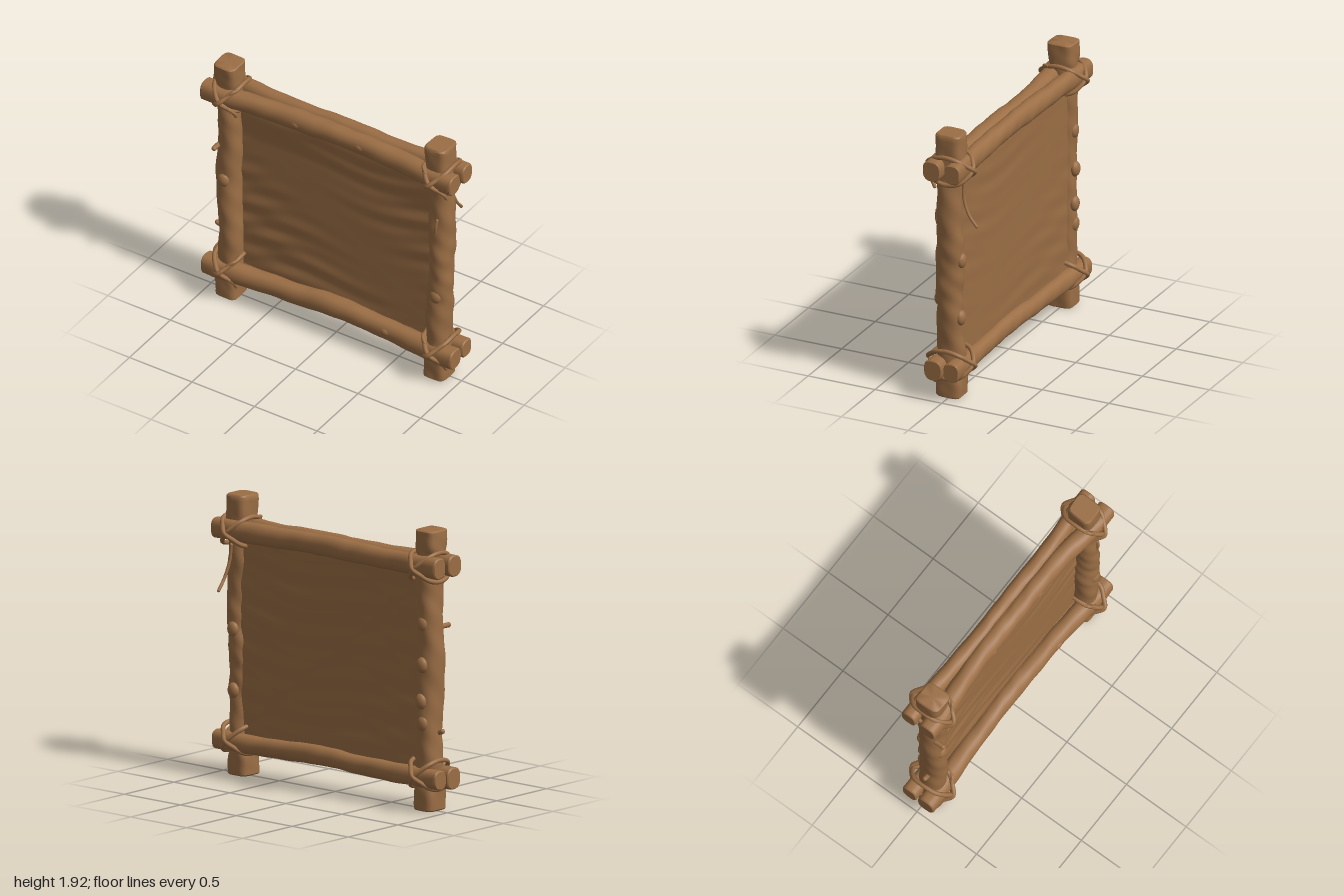
import * as THREE from 'three';
import { toCreasedNormals } from 'three/addons/utils/BufferGeometryUtils.js';

const wood = new THREE.MeshStandardMaterial({ color: 0x9b6e45 });
wood.name = 'brown wood';

// Smooth repeatable waviness
const wave = (a, t, s) =>
  0.5 * Math.sin(3 * t + 2 * a + s) + 0.3 * Math.sin(7.3 * t - a + 2.1 * s) + 0.25 * Math.sin(12.1 * t + 3 * a + 3.7 * s);

function add(group, name, geometry) {
  const mesh = new THREE.Mesh(geometry, wood);
  mesh.name = name;
  group.add(mesh);
  return mesh;
}

// Closed log skinned over rings along a path; u and v span its cross-section.
// square = how boxy the cut ends are.
function logGeometry(path, u, v, ru, rv, seed, square, rough) {
  const curve = new THREE.CatmullRomCurve3(path.map(p => new THREE.Vector3(...p)));
  const sides = 28, rings = 64, pos = [], index = [];
  const U = new THREE.Vector3(...u), V = new THREE.Vector3(...v);
  const ring = (t, shrink) => {
    const c = curve.getPoint(t);
    const end = THREE.MathUtils.smoothstep(Math.abs(t - 0.5), 0.36, 0.43);
    for (let j = 0; j < sides; j++) {
      const a = j / sides * Math.PI * 2, ca = Math.cos(a), sa = Math.sin(a);
      const n = 2.2 + square * end * 3;
      const boxy = Math.pow(Math.abs(ca) ** n + Math.abs(sa) ** n, -1 / n);
      const k = boxy * shrink * (1 + rough * (1 - 0.6 * end) * wave(a, t * 6, seed));
      const p = c.clone().addScaledVector(U, ca * ru * k).addScaledVector(V, sa * rv * k);
      pos.push(p.x, p.y, p.z);
    }
  };
  ring(0, 0.9);
  for (let i = 0; i <= rings; i++) ring(0.006 + 0.988 * i / rings, 1);
  ring(1, 0.9);
  const count = rings + 3;
  for (let i = 0; i < count - 1; i++) for (let j = 0; j < sides; j++) {
    const k = (j + 1) % sides, a = i * sides + j, b = i * sides + k;
    index.push(a, b, a + sides, b, b + sides, a + sides);
  }
  // End caps
  for (const [t, start] of [[0, 0], [1, (count - 1) * sides]]) {
    const c = curve.getPoint(t), m = pos.length / 3;
    pos.push(c.x, c.y, c.z);
    for (let j = 0; j < sides; j++) {
      const a = start + j, b = start + (j + 1) % sides;
      if (t) index.push(m, a, b); else index.push(m, b, a);
    }
  }
  const g = new THREE.BufferGeometry();
  g.setAttribute('position', new THREE.Float32BufferAttribute(pos, 3));
  g.setIndex(index);
  return toCreasedNormals(g, 0.7);
}

function rope(group, name, points, radius, closed) {
  const curve = new THREE.CatmullRomCurve3(points.map(p => new THREE.Vector3(...p)), closed);
  add(group, name, new THREE.TubeGeometry(curve, closed ? 72 : 16, radius, 8, closed));
  // Rounded tips on loose ends
  if (!closed) for (const p of [points[0], points[points.length - 1]])
    add(group, name + 'Tip', new THREE.SphereGeometry(radius, 10, 8)).position.set(...p);
}

function knot(group, name, p, s) {
  const m = add(group, name, new THREE.SphereGeometry(1, 14, 10));
  m.position.set(...p);
  m.scale.set(...s);
}

export function createModel() {
  const model = new THREE.Group();
  model.name = 'lashedLogFrame';

  // Upright posts
  const Z = [0, 0, 1], X = [1, 0, 0], Y = [0, 1, 0];
  add(model, 'rightPost', logGeometry(
    [[-0.835, 0, 0.01], [-0.835, 0.25, 0.01], [-0.83, 0.6, 0.012], [-0.845, 1, 0.014], [-0.835, 1.4, 0.01], [-0.845, 1.7, 0.01], [-0.845, 1.92, 0.015]],
    Z, X, 0.092, 0.084, 1.3, 1, 0.08));
  add(model, 'leftPost', logGeometry(
    [[0.828, 0, 0.01], [0.832, 0.25, 0.01], [0.84, 0.62, 0.02], [0.85, 0.9, 0.012], [0.855, 1.2, 0.012], [0.845, 1.6, 0.008], [0.838, 1.92, 0.01]],
    Z, X, 0.092, 0.083, 4.1, 1, 0.1));

  // Paired rails: name, height, lift at mid span, end depth, mid depth, radii, seed
  const rails = [
    ['topFrontRail', 1.677, 0.006, 0.08, 0.036, 0.072, 0.066, 2.2],
    ['topBackRail', 1.68, 0.005, -0.074, -0.052, 0.071, 0.058, 5.6],
    ['bottomFrontRail', 0.222, 0.022, 0.07, 0.036, 0.074, 0.066, 0.4],
    ['bottomBackRail', 0.23, 0.015, -0.066, -0.052, 0.066, 0.058, 3.3]];
  for (const [name, y, lift, ze, zm, ry, rz, seed] of rails)
    add(model, name, logGeometry(
      [[-1, y, ze], [-0.84, y, ze], [-0.55, y - 0.003, zm + (ze - zm) * 0.3], [-0.25, y, zm], [0, y + lift, zm], [0.25, y + lift * 0.6, zm],
        [0.55, y - 0.003, zm + (ze - zm) * 0.2], [0.84, y, ze], [1, y, ze]],
      Y, Z, ry, rz, seed, 0.2, 0.06));

  // Gently creased hide panel held between the rails, nearer the back
  const panel = new THREE.BoxGeometry(1.6, 1.42, 0.042, 80, 90, 1);
  const p = panel.attributes.position;
  for (let i = 0; i < p.count; i++) {
    const x = p.getX(i), y = p.getY(i) + 0.95, front = p.getZ(i) > 0;
    const patch = 0.5 + 0.5 * Math.sin(3.1 * x + 4 * y + 1);
    const ripple = patch * (0.0045 * Math.sin(27 * y + 2 * Math.sin(2.3 * x + 1)) + 0.003 * Math.sin(46 * y - 4 * x + 2 * Math.sin(5 * x)));
    const lip = 0.022 * THREE.MathUtils.smoothstep(y, 1.32, 1.55);
    p.setXYZ(i, x, y, p.getZ(i) - 0.03 + (front ? ripple + lip : 0.4 * ripple));
  }
  panel.computeVertexNormals();
  add(model, 'hidePanel', toCreasedNormals(panel, 0.9));

  // Crossed rope lashing at each corner
  for (const [cx, cy, tag] of [[-0.835, 1.67, 'topRight'], [0.845, 1.67, 'topLeft'], [-0.835, 0.25, 'bottomRight'], [0.84, 0.25, 'bottomLeft']]) {
    const lashing = new THREE.Group();
    lashing.name = tag + 'Lashing';
    for (const d of [-1, 1]) {
      const w = 0.088, h = 0.086 * d;
      rope(lashing, 'ropeLoop', [
        [cx, cy, 0.172 + d * 0.008], [cx + w * 0.55, cy + h * 0.55, 0.134], [cx + w * 0.95, cy + h * 0.95, 0.085],
        [cx + w * 1.06, cy + h * 1.15, 0], [cx + w * 0.95, cy + h * 0.95, -0.085], [cx + w * 0.55, cy + h * 0.55, -0.128],
        [cx, cy, -0.16 - d * 0.008], [cx - w * 0.55, cy - h * 0.55, -0.128], [cx - w * 0.95, cy - h * 0.95, -0.085],
        [cx - w * 1.06, cy - h * 1.15, 0], [cx - w * 0.95, cy - h * 0.95, 0.085], [cx - w * 0.55, cy - h * 0.55, 0.134]], 0.016, true);
    }
    // Short loose ends
    const s = Math.sign(cx);
    rope(lashing, 'ropeEnd', [[cx + 0.06, cy - 0.055, 0.13], [cx + 0.085, cy - 0.09, 0.105], [cx + 0.09, cy - 0.125, 0.085]], 0.013, false);
    rope(lashing, 'ropeEnd', [[cx - s * 0.05, cy + 0.06, 0.13], [cx - s * 0.08, cy + 0.085, 0.11], [cx - s * 0.092, cy + 0.088, 0.08]], 0.012, false);
    model.add(lashing);
  }

  // Loose rope tail hanging behind
  rope(model, 'ropeTail', [[0.85, 1.58, -0.09], [0.86, 1.47, -0.095], [0.87, 1.36, -0.135], [0.87, 1.28, -0.195]], 0.011, false);

  // Twigs and branch stubs
  rope(model, 'twig', [[0.858, 1.24, 0.1], [0.864, 1.29, 0.108], [0.87, 1.345, 0.1]], 0.011, false);
  rope(model, 'branchStub', [[-0.89, 1.25, 0.06], [-0.89, 1.25, 0.135]], 0.018, false);
  rope(model, 'branchStub', [[-0.89, 0.53, 0.02], [-0.938, 0.545, 0.02]], 0.018, false);

  // Low swellings in the bark
  const knots = [
    [-0.84, 1.0, -0.075], [-0.83, 0.75, -0.075], [0.85, 1.0, -0.072], [0.85, 0.58, -0.068], [-0.84, 0.6, -0.068],
    [-0.84, 1.28, -0.065], [0.85, 0.7, 0.09], [-0.845, 0.98, 0.09]];
  for (const k of knots) knot(model, 'barkSwelling', k, [0.045, 0.055, 0.033]);
  for (const k of [[0.24, 1.685, 0.082], [-0.27, 1.67, 0.084], [0.45, 0.235, 0.086]])
    knot(model, 'railSwelling', k, [0.045, 0.03, 0.024]);

  return model;
}
